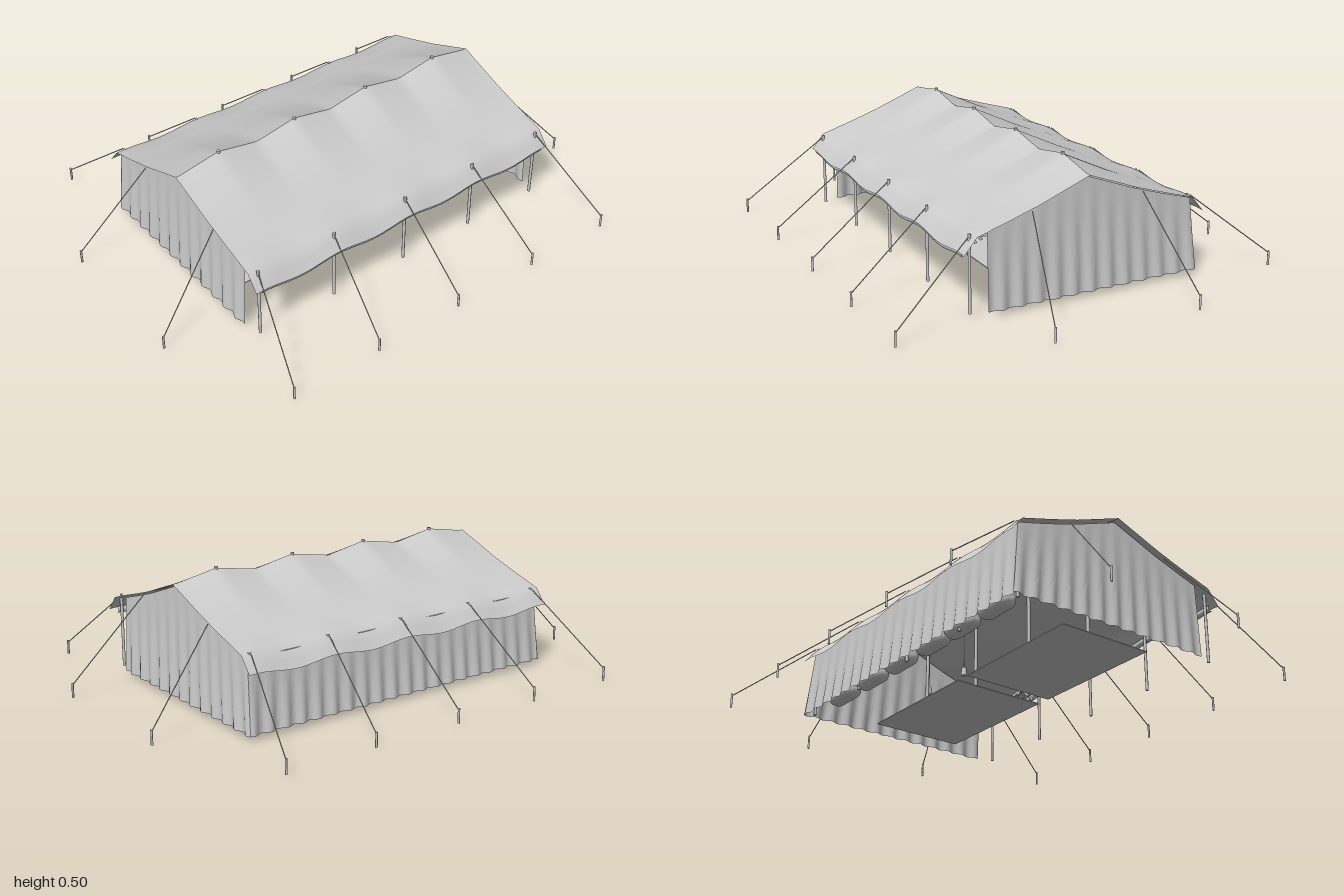
import * as THREE from 'three';
import { toCreasedNormals } from 'three/addons/utils/BufferGeometryUtils.js';
import { RoundedBoxGeometry } from 'three/addons/geometries/RoundedBoxGeometry.js';

const solid = new THREE.MeshStandardMaterial({ color: 0xcccccc });
const cloth = new THREE.MeshStandardMaterial({ color: 0xcccccc, side: THREE.DoubleSide });
const { lerp, clamp } = THREE.MathUtils;
const V = (x, y, z) => new THREE.Vector3(x, y, z);

// Cloth sheet: f(u, v) gives the point for u, v in 0..1
function sheet(nu, nv, f) {
  const pos = [], idx = [];
  for (let j = 0; j <= nv; j++)
    for (let i = 0; i <= nu; i++) {
      pos.push(...f(i / nu, j / nv));
      if (i < nu && j < nv) {
        const a = j * (nu + 1) + i, c = a + nu + 1;
        idx.push(a, c, a + 1, a + 1, c, c + 1);
      }
    }
  const g = new THREE.BufferGeometry();
  g.setAttribute('position', new THREE.Float32BufferAttribute(pos, 3));
  g.setIndex(idx);
  return toCreasedNormals(g, 0.6);
}

// Height read along a list of [distance, height] pairs
function along(points, d) {
  for (let i = 1; i < points.length; i++) {
    const [d0, h0] = points[i - 1], [d1, h1] = points[i];
    if (d <= d1) return lerp(h0, h1, (d - d0) / (d1 - d0));
  }
  return points[points.length - 1][1];
}

const END = [[0, 0.468], [0.2, 0.392], [0.33, 0.35], [0.45, 0.315], [0.5, 0.255]];
const HALF = 0.715, EAVE = 0.5;

// Roof height: the ridge peaks over four poles, the eaves dip between the guys
function roofY(x, z) {
  const d = Math.abs(z);
  const t = Math.abs(((x / 0.35) % 1 + 1) % 1 - 0.5) * 2;
  const peak = Math.abs(x) > 0.7 ? 0 : 1 - t;
  const ridge = 0.032 * peak * Math.max(0, 1 - d / 0.3);
  const dip = 0.016 * Math.sin(Math.PI * x / 0.34) ** 2 * clamp((d - 0.35) / 0.15, 0, 1);
  return along(END, d) + ridge - dip;
}

export function createModel() {
  const model = new THREE.Group();
  const add = (name, geometry, material = solid) => {
    const mesh = new THREE.Mesh(geometry, material);
    mesh.name = name;
    model.add(mesh);
    return mesh;
  };
  const rod = (name, a, b, r, sides = 8) => {
    const m = add(name, new THREE.CylinderGeometry(r, r, a.distanceTo(b), sides));
    m.position.copy(a).lerp(b, 0.5);
    m.quaternion.setFromUnitVectors(V(0, 1, 0), b.clone().sub(a).normalize());
    return m;
  };

  // Roof with a sloping drop at both eaves
  const roof = sheet(64, 40, (u, v) => {
    const x = lerp(-HALF, HALF, u), z = lerp(-EAVE, EAVE, v);
    return [x, roofY(x, z), z];
  });
  add('roof', roof, cloth);

  // Side walls, folded more strongly towards the ground
  for (const s of [-1, 1])
    add('sideWall', sheet(100, 16, (u, v) => {
      const t = s > 0 ? u : 1 - u;
      const z = lerp(lerp(-0.485, -0.455, v), 0.4, t);
      const fold = 0.007 * (1 - v) * Math.sin(t * Math.PI * 24);
      return [s * (lerp(0.705, 0.692, v) + fold), lerp(0.02, along(END, Math.abs(z)) - 0.008, v), z];
    }), cloth);

  // Back wall
  add('backWall', sheet(160, 12, (u, v) => {
    const fold = 0.007 * (1 - v) * Math.sin(u * Math.PI * 40);
    return [lerp(-1, 1, u) * lerp(0.705, 0.692, v), lerp(0.02, 0.3, v), lerp(-0.482, -0.455, v) + fold];
  }), cloth);

  // Front wall rolled up under the eave
  const roll = [];
  for (let i = 0; i <= 32; i++) {
    const x = lerp(-0.69, 0.69, i / 32);
    roll.push(V(x, 0.25 - 0.016 * Math.sin(Math.PI * x / 0.34) ** 2, 0.484));
  }
  add('rolledFrontWall', new THREE.TubeGeometry(new THREE.CatmullRomCurve3(roll), 96, 0.013, 8));

  // Ridge poles
  for (const x of [-0.525, -0.175, 0.175, 0.525])
    rod('ridgePole', V(x, 0.02, 0), V(x, 0.505, 0), 0.007);

  // Stake with a rope tied near its top
  const guy = (from, x, z) => {
    rod('stake', V(x, 0, z), V(x, 0.058, z), 0.0045, 6);
    rod('guyRope', from, V(x, 0.05, z), 0.0022, 5);
  };

  // Eave poles and guy ropes along front and back
  for (const s of [-1, 1])
    [-0.68, -0.34, 0, 0.34, 0.68].forEach((x) => {
      const z = s > 0 ? 0.462 : -0.448;
      rod('eavePole', V(x, 0.02, z), V(x, 0.318, z), 0.006);
      guy(V(x, 0.312, s * 0.462), x * 1.125, s * 0.785);
    });

  // Guy ropes at the gable ends
  for (const sx of [-1, 1])
    for (const sz of [-1, 1])
      guy(V(sx * 0.71, 0.372, sz * 0.23), sx * 0.992, sz * 0.298);

  // Bundles along the back wall
  for (const x of [-0.53, -0.325, -0.14, 0.075, 0.28, 0.485]) {
    const b = add('bundle', new RoundedBoxGeometry(0.17, 0.1, 0.075, 4, 0.032));
    b.position.set(x, 0.072, -0.425);
  }

  // Ground mats
  for (const s of [-1, 1]) {
    const mat = add('groundMat', new THREE.BoxGeometry(0.58, 0.004, 0.4));
    mat.position.set(s * 0.32, 0.022, 0.01);
  }

  // Firewood pile
  for (let i = 0; i < 6; i++) {
    const a = i * Math.PI / 3;
    rod('firewood', V(0.04 + 0.045 * Math.cos(a), 0.024, 0.13 + 0.045 * Math.sin(a)),
      V(0.04 - 0.015 * Math.cos(a), 0.085, 0.13 - 0.015 * Math.sin(a)), 0.005, 6);
  }

  // Hanging lanterns
  for (const x of [0.285, 0.54]) {
    const lamp = add('lantern', new THREE.CylinderGeometry(0.01, 0.013, 0.035, 10));
    lamp.position.set(x, 0.2, 0.02);
    rod('lanternCord', V(x, 0.215, 0.02), V(x, roofY(x, 0.02), 0.02), 0.0015, 5);
  }

  return model;
}
